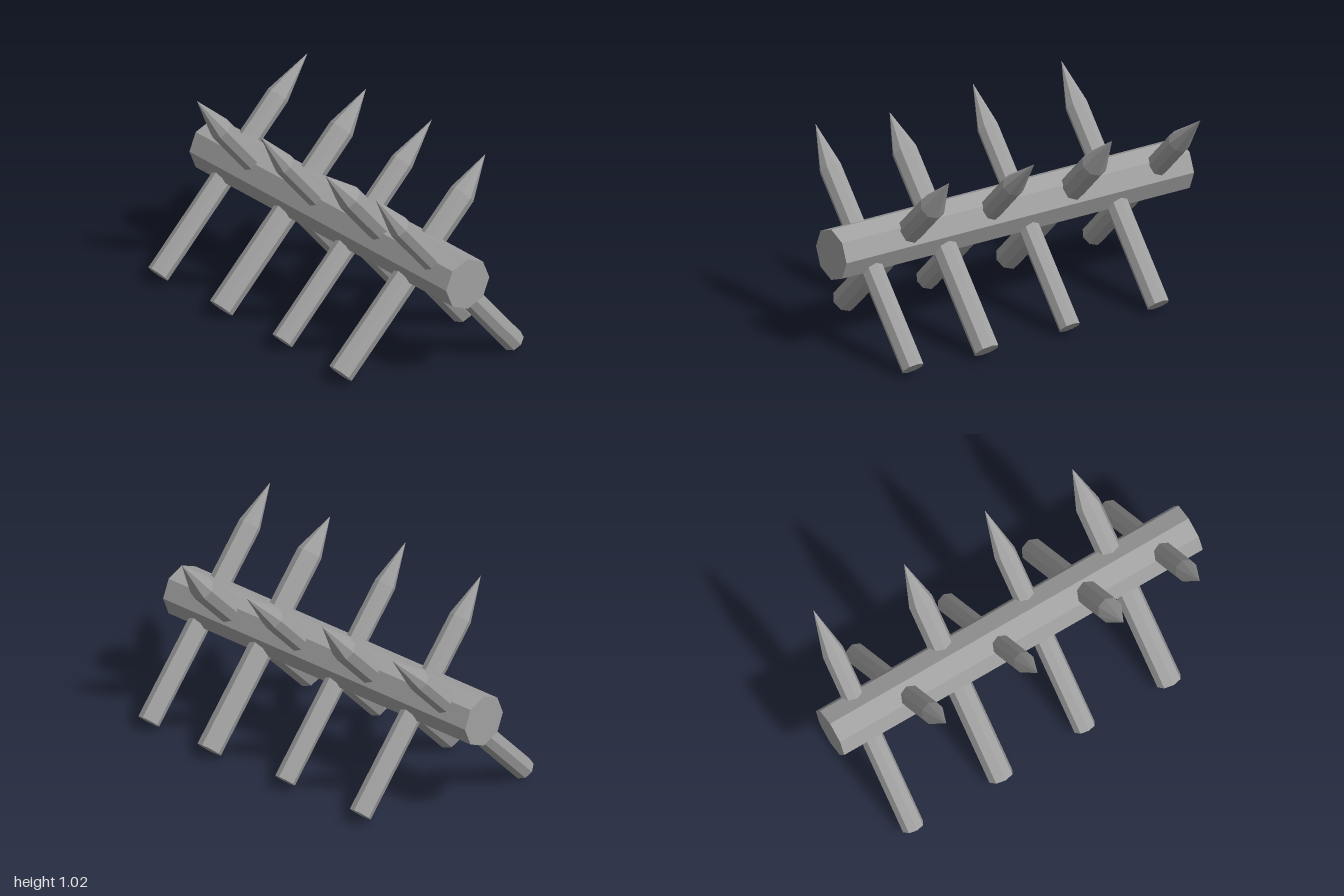
import * as THREE from 'three';

const wood = new THREE.MeshStandardMaterial({ color: 0xa0a0a0, flatShading: true });
wood.name = 'grey wood';

const SIDES = 8;
const UP = new THREE.Vector3(0, 1, 0);

// Sharpened stake: straight shaft from its foot, then a cone whose apex is pulled to the tip
function makeStake(name, foot, shoulder, tip, radius) {
  const stake = new THREE.Group();
  stake.name = name;
  const axis = shoulder.clone().sub(foot);
  const length = axis.length();
  const turn = new THREE.Quaternion().setFromUnitVectors(UP, axis.normalize());

  const shaftGeo = new THREE.CylinderGeometry(radius, radius, length, SIDES);
  shaftGeo.translate(0, length / 2, 0).applyQuaternion(turn).translate(foot.x, foot.y, foot.z);
  const shaft = new THREE.Mesh(shaftGeo, wood);
  shaft.name = 'shaft';

  const pointGeo = new THREE.ConeGeometry(radius, 1, SIDES, 1, true);
  pointGeo.translate(0, 0.5, 0);
  const pos = pointGeo.attributes.position;
  const apex = [];
  for (let i = 0; i < pos.count; i++) if (pos.getY(i) > 0.5) apex.push(i);
  pointGeo.applyQuaternion(turn).translate(shoulder.x, shoulder.y, shoulder.z);
  for (const i of apex) pos.setXYZ(i, tip.x, tip.y, tip.z);
  pointGeo.computeVertexNormals();
  const point = new THREE.Mesh(pointGeo, wood);
  point.name = 'point';

  stake.add(shaft, point);
  return stake;
}

export function createModel() {
  const model = new THREE.Group();
  model.name = 'spikedBarricade';

  // Octagonal log, very slightly skewed
  const logGeo = new THREE.CylinderGeometry(0.13, 0.13, 2, SIDES);
  logGeo.rotateZ(-Math.PI / 2);
  const log = new THREE.Mesh(logGeo, wood);
  log.name = 'log';
  log.position.set(0, 0.53, -0.02);
  log.rotation.y = -0.006;
  model.add(log);

  // Stakes leaning back: x, foot z, tip z, radius
  const leaningBack = [
    [-0.82, 0.435, -0.47, 0.056],
    [-0.33, 0.437, -0.44, 0.064],
    [0.14, 0.435, -0.47, 0.056],
    [0.605, 0.447, -0.43, 0.064],
  ];
  for (const [x, footZ, tipZ, r] of leaningBack) {
    model.add(makeStake('stakeLeaningBack',
      new THREE.Vector3(x, 0.048, footZ),
      new THREE.Vector3(x, 0.78, -0.29),
      new THREE.Vector3(x, 0.95, tipZ), r));
  }

  // Stakes leaning forward: x, foot z, tip z, tip y, radius
  const leaningForward = [
    [-0.59, -0.45, 0.375, 1.02, 0.056],
    [-0.085, -0.44, 0.385, 1.02, 0.053],
    [0.403, -0.452, 0.375, 0.99, 0.063],
    [0.817, -0.435, 0.395, 1.02, 0.056],
  ];
  for (const [x, footZ, tipZ, tipY, r] of leaningForward) {
    model.add(makeStake('stakeLeaningForward',
      new THREE.Vector3(x, 0.045, footZ),
      new THREE.Vector3(x, 0.84, tipZ - 0.135),
      new THREE.Vector3(x - 0.007, tipY, tipZ), r));
  }
  return model;
}
